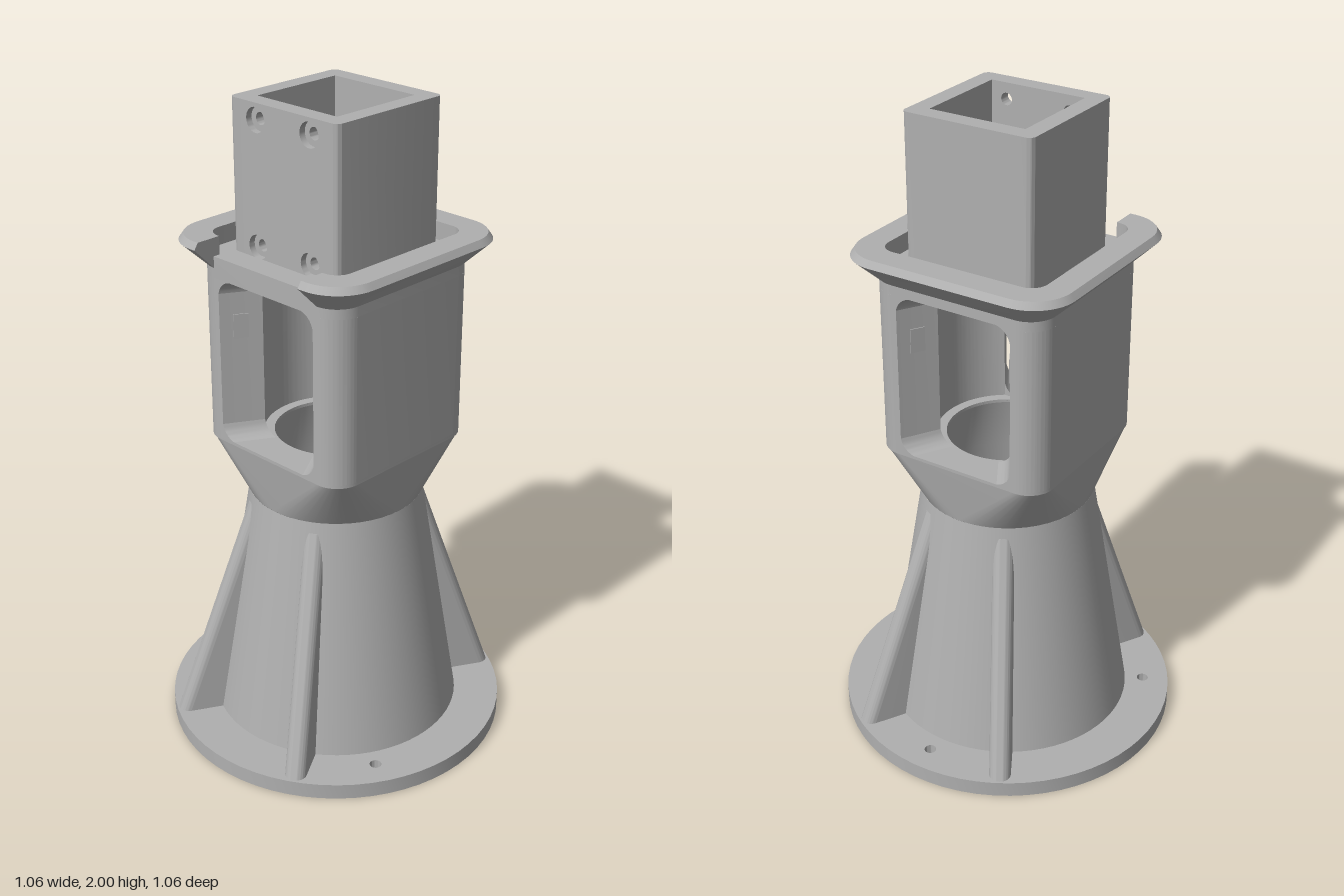
import * as THREE from 'three';
import { toCreasedNormals } from 'three/addons/utils/BufferGeometryUtils.js';

const grey = new THREE.MeshStandardMaterial({ color: 0xb0b0b0 });
grey.name = 'grey plastic';

function add(parent, name, geometry) {
  const mesh = new THREE.Mesh(geometry, grey);
  mesh.name = name;
  parent.add(mesh);
  return mesh;
}

// Vertical prism: shape x is model x, shape y is model -z
function prism(shape, y0, y1) {
  const g = new THREE.ExtrudeGeometry(shape, { depth: y1 - y0, bevelEnabled: false, curveSegments: 32 });
  g.rotateX(-Math.PI / 2).translate(0, y0, 0);
  return toCreasedNormals(g, 0.5);
}

function circle(x, y, r) {
  return new THREE.Path().absarc(x, y, r, 0, Math.PI * 2, false);
}

// Rounded square loop, one arc per corner, starting with the given corner
function squareLoop(h, r, y, first = 0, steps = 12) {
  const pts = [];
  for (let k = first; k < first + 4; k++) {
    const m = (k + 0.5) * Math.PI / 2;
    const cx = Math.sign(Math.cos(m)) * (h - r), cz = Math.sign(Math.sin(m)) * (h - r);
    for (let i = 0; i <= steps; i++) {
      const a = (k + i / steps) * Math.PI / 2;
      pts.push(new THREE.Vector3(cx + r * Math.cos(a), y, cz + r * Math.sin(a)));
    }
  }
  return pts;
}

function roundedSquare(h, r) {
  return new THREE.Shape(squareLoop(h, r, 0).map(p => new THREE.Vector2(p.x, p.z)));
}

// Skin over loops of equal length; open loops get end caps
function loft(loops, closed) {
  const n = loops[0].length, index = [];
  for (let k = 0; k < loops.length - 1; k++) {
    for (let i = 0; i < (closed ? n : n - 1); i++) {
      const a = k * n + i, b = k * n + (i + 1) % n, c = a + n, d = b + n;
      index.push(a, c, b, b, c, d);
    }
  }
  if (!closed) {
    for (let k = 1; k < loops.length - 2; k++) {
      index.push(0, (k + 1) * n, k * n);
      index.push(n - 1, k * n + n - 1, (k + 1) * n + n - 1);
    }
  }
  const g = new THREE.BufferGeometry().setFromPoints(loops.flat());
  g.setIndex(index);
  return toCreasedNormals(g, 0.45);
}

function lathe(points) {
  return new THREE.LatheGeometry(points.map(p => new THREE.Vector2(...p)), 72);
}

// Gusset: rounded outer edge leaning in towards the cone
function ribGeometry() {
  const r = 0.033, y0 = 0.045, y1 = 0.765;
  const s = new THREE.Shape();
  s.moveTo(0, -r);
  s.lineTo(0.13, -r);
  s.absarc(0.13, 0, r, -Math.PI / 2, Math.PI / 2, false);
  s.lineTo(0, r);
  const g = prism(s, y0, y1);
  const p = g.attributes.position;
  for (let i = 0; i < p.count; i++) {
    const t = (p.getY(i) - y0) / (y1 - y0), x = p.getX(i);
    const inner = 0.36 - 0.122 * t, outer = 0.49 - 0.25 * t;
    p.setX(i, x < 0.01 ? inner : outer + x - 0.13);
  }
  g.computeVertexNormals();
  return toCreasedNormals(g, 0.5);
}

// Rounded corner of the tapered window
function filletGeometry(sx, sy) {
  const r = 0.045, s = new THREE.Shape();
  s.moveTo(0, 0);
  s.lineTo(-sx * r, 0);
  s.quadraticCurveTo(-sx * r * 0.2, -sy * r * 0.2, 0, -sy * r);
  const g = new THREE.ExtrudeGeometry(s, { depth: 0.11, bevelEnabled: false, curveSegments: 8 });
  g.translate(0, sy > 0 ? 1.49 : 0.985, 0.175);
  const p = g.attributes.position;
  for (let i = 0; i < p.count; i++) {
    const wall = 0.125 + (p.getZ(i) - 0.175) / 0.11 * 0.065;
    p.setX(i, p.getX(i) + sx * wall);
  }
  g.computeVertexNormals();
  return toCreasedNormals(g, 0.5);
}

export function createModel() {
  const model = new THREE.Group();
  model.name = 'post mount';

  // Base flange with three bolt holes
  const disc = new THREE.Shape().absarc(0, 0, 0.528, 0, Math.PI * 2, false);
  disc.holes.push(circle(0, 0, 0.352));
  for (let i = 0; i < 3; i++) {
    const a = Math.PI / 2 + i * Math.PI * 2 / 3;
    disc.holes.push(circle(0.445 * Math.cos(a), 0.445 * Math.sin(a), 0.018));
  }
  add(model, 'baseFlange', prism(disc, 0, 0.05));

  // Hollow cone
  add(model, 'coneOuter', lathe([[0.387, 0.05], [0.265, 0.8]]));
  add(model, 'coneInner', lathe([[0.185, 0.98], [0.23, 0.8], [0.352, 0.04]]));

  // Four ribs
  const rib = ribGeometry();
  for (const deg of [60, 120, 240, 300]) {
    add(model, 'rib', rib).rotation.y = deg * Math.PI / 180;
  }

  // Round to square transition
  const square = squareLoop(0.285, 0.08, 0.98);
  const round = square.map((p, i) => {
    const a = (Math.floor(i / 13) + (i % 13) / 12) * Math.PI / 2;
    return new THREE.Vector3(0.265 * Math.cos(a), 0.8, 0.265 * Math.sin(a));
  });
  add(model, 'transition', loft([round, square], true));

  // Chamber floor and ceiling
  const floor = roundedSquare(0.285, 0.08);
  floor.holes.push(circle(0, 0, 0.185));
  add(model, 'chamberFloor', prism(floor, 0.975, 0.985));
  const ceiling = roundedSquare(0.285, 0.08);
  ceiling.holes.push(circle(0, 0, 0.172));
  add(model, 'chamberCeiling', prism(ceiling, 1.49, 1.555));

  // Side walls: square outside, round chamber inside, tapered window jambs
  const wall = new THREE.Shape();
  const a = Math.atan2(0.175, 0.125);
  wall.moveTo(0.19, -0.285);
  wall.lineTo(0.205, -0.285);
  wall.absarc(0.205, -0.205, 0.08, -Math.PI / 2, 0, false);
  wall.absarc(0.205, 0.205, 0.08, 0, Math.PI / 2, false);
  wall.lineTo(0.19, 0.285);
  wall.lineTo(0.125, 0.175);
  wall.absarc(0, 0, 0.215, a, -a, true);
  const wallGeometry = prism(wall, 0.985, 1.49);

  // Each half turn carries one wall and one window's corners and latch plates
  for (const turn of [0, Math.PI]) {
    const half = new THREE.Group();
    half.name = turn ? 'backHalf' : 'frontHalf';
    half.rotation.y = turn;
    add(half, 'chamberWall', wallGeometry);
    for (const sx of [-1, 1]) {
      for (const sy of [-1, 1]) add(half, 'windowCorner', filletGeometry(sx, sy));
      const latch = add(half, 'latchPlate', new THREE.BoxGeometry(0.006, 0.075, 0.045));
      latch.position.set(sx * 0.158, 1.34, 0.231);
      latch.rotation.y = sx * Math.atan2(0.065, 0.11);
    }
    model.add(half);
  }

  // Flared collar, open at the front
  const collar = [
    [0.262, 0.05, 1.52], [0.285, 0.08, 1.52], [0.355, 0.13, 1.59],
    [0.342, 0.12, 1.61], [0.262, 0.05, 1.61], [0.262, 0.05, 1.52],
  ].map(([h, r, y]) => [
    new THREE.Vector3(-0.205, y, h),
    ...squareLoop(h, r, y, 1),
    new THREE.Vector3(0.205, y, h),
  ]);
  add(model, 'collar', loft(collar, false));

  // Square socket: three walls plus a drilled front wall
  const o = 0.207, w = 0.152, c = 0.02;
  const socket = new THREE.Shape();
  socket.moveTo(-w, -o);
  socket.lineTo(-w, w);
  socket.lineTo(w, w);
  socket.lineTo(w, -o);
  socket.lineTo(o - c, -o);
  socket.absarc(o - c, -o + c, c, -Math.PI / 2, 0, false);
  socket.absarc(o - c, o - c, c, 0, Math.PI / 2, false);
  socket.absarc(-o + c, o - c, c, Math.PI / 2, Math.PI, false);
  socket.absarc(-o + c, -o + c, c, Math.PI, Math.PI * 1.5, false);
  add(model, 'socketWalls', prism(socket, 1.55, 2));

  for (const [z0, z1, r] of [[w, 0.187, 0.018], [0.187, o, 0.036]]) {
    const plate = new THREE.Shape();
    plate.moveTo(-w, 1.545);
    plate.lineTo(w, 1.545);
    plate.lineTo(w, 2);
    plate.lineTo(-w, 2);
    for (const x of [-0.103, 0.103]) {
      for (const y of [1.588, 1.952]) plate.holes.push(circle(x, y, r));
    }
    const g = new THREE.ExtrudeGeometry(plate, { depth: z1 - z0, bevelEnabled: false, curveSegments: 16 });
    add(model, 'socketFront', toCreasedNormals(g.translate(0, 0, z0), 0.5));
  }

  return model;
}
